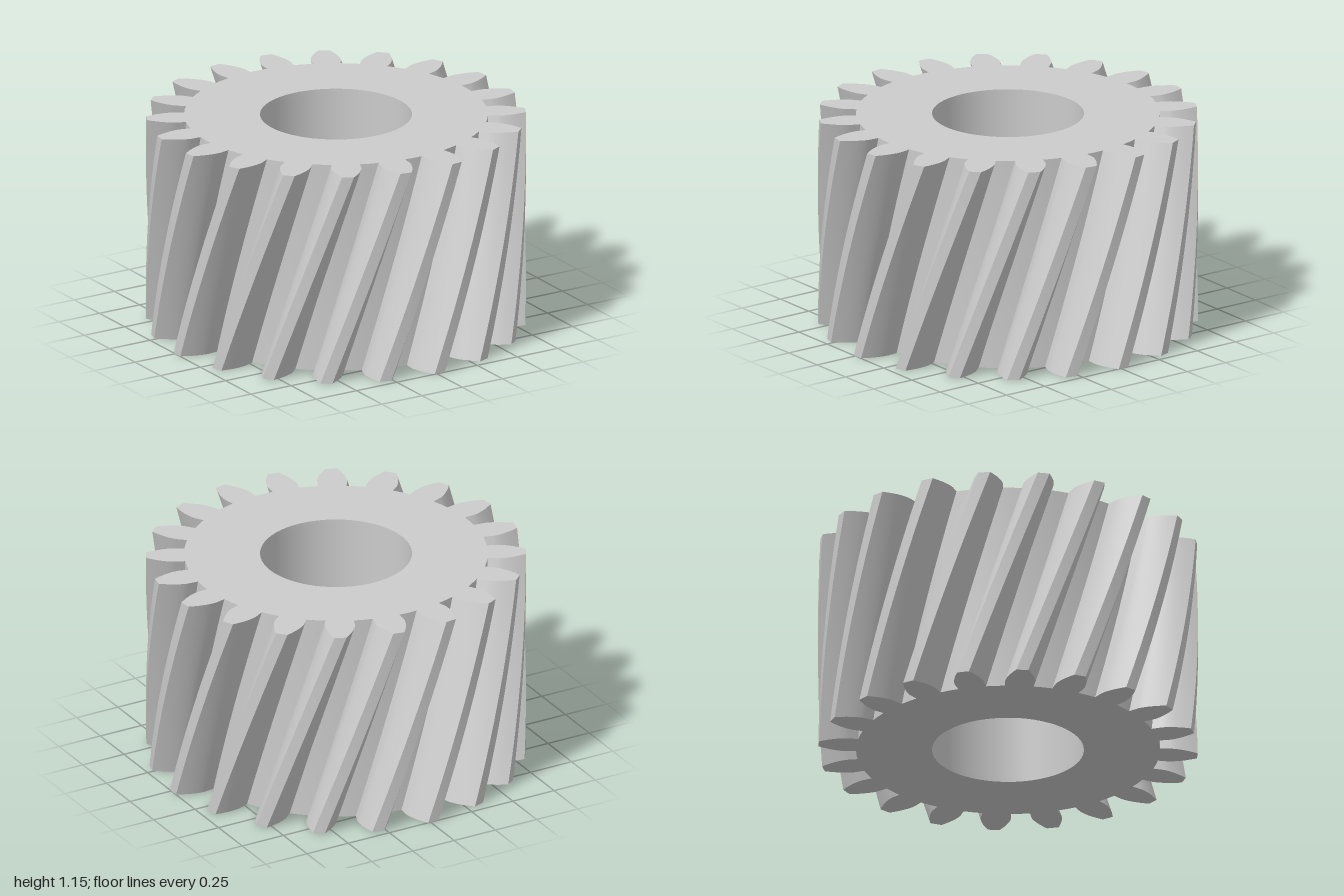
import * as THREE from 'three';
import { toCreasedNormals } from 'three/addons/utils/BufferGeometryUtils.js';

const TEETH = 20, HEIGHT = 1.15, TIP = 1, ROOT = 0.8, BORE = 0.4;
const PITCH = TIP * TEETH / (TEETH + 2);
const PRESSURE = THREE.MathUtils.degToRad(20);
const TWIST = THREE.MathUtils.degToRad(24.5);
const PHASE = THREE.MathUtils.degToRad(7.5); // centre of the first tooth on the top face

// Half the angular thickness of an involute tooth at radius r
const BASE = PITCH * Math.cos(PRESSURE);
const inv = (a) => Math.tan(a) - a;
const halfAngle = (r) =>
  Math.PI / (2 * TEETH) + inv(PRESSURE) - inv(Math.acos(Math.min(1, BASE / r)));

function gearShape() {
  // Radii along one flank: radial up to the base circle, then involute
  const radii = [ROOT];
  for (let i = 0; i <= 7; i++) radii.push(THREE.MathUtils.lerp(BASE, TIP, (i / 7) ** 1.4));

  const points = [];
  const add = (r, a) => points.push(new THREE.Vector2(r * Math.sin(a), -r * Math.cos(a)));
  for (let t = 0; t < TEETH; t++) {
    const centre = PHASE + (t * 2 * Math.PI) / TEETH;
    radii.forEach((r) => add(r, centre - halfAngle(r)));
    add(TIP, centre);
    [...radii].reverse().forEach((r) => add(r, centre + halfAngle(r)));
    add(ROOT, centre + Math.PI / TEETH); // middle of the gap floor
  }
  const shape = new THREE.Shape(points);
  shape.holes.push(new THREE.Path().absarc(0, 0, BORE, 0, Math.PI * 2, true));
  return shape;
}

export function createModel() {
  let geometry = new THREE.ExtrudeGeometry(gearShape(), {
    depth: HEIGHT, steps: 28, curveSegments: 32, bevelEnabled: false,
  });
  geometry.rotateX(-Math.PI / 2);

  // Twist the straight teeth into a helix
  const pos = geometry.attributes.position;
  const v = new THREE.Vector3(), up = new THREE.Vector3(0, 1, 0);
  for (let i = 0; i < pos.count; i++) {
    v.fromBufferAttribute(pos, i);
    v.applyAxisAngle(up, TWIST * (v.y / HEIGHT - 1));
    pos.setXYZ(i, v.x, v.y, v.z);
  }
  geometry = toCreasedNormals(geometry, Math.PI / 7);

  const gear = new THREE.Mesh(geometry, new THREE.MeshStandardMaterial({ color: 0xcccccc }));
  gear.name = 'helicalGear';
  const group = new THREE.Group();
  group.name = 'gear';
  group.add(gear);
  return group;
}
